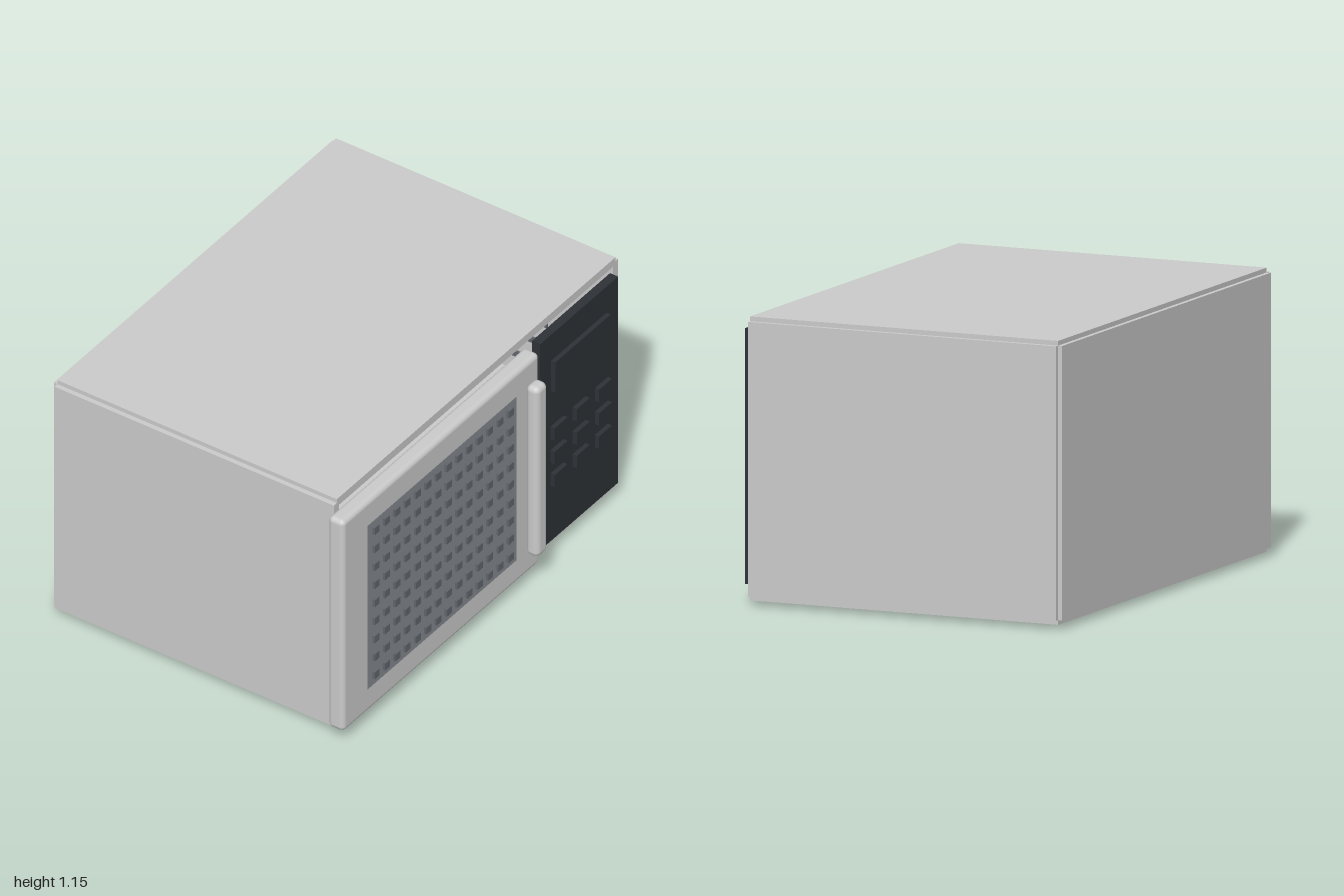
import * as THREE from 'three';
import { RoundedBoxGeometry } from 'three/addons/geometries/RoundedBoxGeometry.js';

const paint = (color) => new THREE.MeshStandardMaterial({ color });
const grey = paint(0xcccccc);
const black = paint(0x2e3237);
const glass = paint(0x85898f);
const dark = paint(0x62666c);
const copper = paint(0xb87a45);
const red = paint(0x8a5048);

export function createModel() {
  const model = new THREE.Group();
  model.name = 'microwaveOven';

  const group = (name) => {
    const g = new THREE.Group();
    g.name = name;
    model.add(g);
    return g;
  };

  // Box given by its limits along x, y and z; a radius rounds the edges
  const box = (parent, name, [x0, x1], [y0, y1], [z0, z1], material = grey, radius = 0) => {
    const size = [x1 - x0, y1 - y0, z1 - z0];
    const geometry = radius
      ? new RoundedBoxGeometry(...size, 4, radius)
      : new THREE.BoxGeometry(...size);
    const mesh = new THREE.Mesh(geometry, material);
    mesh.name = name;
    mesh.position.set((x0 + x1) / 2, (y0 + y1) / 2, (z0 + z1) / 2);
    parent.add(mesh);
    return mesh;
  };

  // Sheet housing, open at the front, with stepped seams along the edges
  const housing = group('housing');
  box(housing, 'topPanel', [-0.935, 0.977], [1.115, 1.152], [-0.73, 0.613]);
  box(housing, 'bottomPanel', [-0.935, 0.977], [0.018, 0.055], [-0.73, 0.613]);
  box(housing, 'leftPanel', [0.96, 0.996], [0.037, 1.133], [-0.73, 0.613]);
  box(housing, 'rightPanel', [-0.956, -0.92], [0.037, 1.133], [-0.73, 0.613]);
  box(housing, 'backPanel', [-0.935, 0.977], [0.037, 1.133], [-0.748, -0.712]);
  for (let i = 0; i < 7; i++) {
    const y = 0.28 + i * 0.103;
    box(housing, 'ventRib', [0.95, 0.961], [y - 0.013, y + 0.013], [-0.3, 0.3], dark);
  }
  box(housing, 'foot', [-0.41, -0.235], [0, 0.02], [-0.17, 0.005], black);

  // Cooking cavity
  const cavity = group('cavity');
  box(cavity, 'cavityTop', [-0.88, 0.34], [0.96, 0.98], [-0.6, 0.6]);
  box(cavity, 'cavityFloor', [-0.88, 0.34], [0.14, 0.16], [-0.6, 0.6]);
  box(cavity, 'cavityBack', [-0.88, 0.34], [0.16, 0.96], [-0.6, -0.58]);
  for (const x of [-0.88, 0.32]) {
    box(cavity, 'cavitySide', [x, x + 0.02], [0.16, 0.96], [-0.58, 0.6]);
  }

  // Power unit behind the control panel
  const power = group('powerUnit');
  box(power, 'mountingPlate', [0.34, 0.41], [0.2, 0.98], [-0.32, -0.3]);
  for (const [y0, y1] of [[0.69, 0.75], [0.53, 0.59], [0.38, 0.43]]) {
    box(power, 'coilFlange', [0.35, 0.75], [y0, y1], [-0.2, 0.2], red);
  }
  const coil = new THREE.Mesh(new THREE.CylinderGeometry(0.18, 0.18, 0.1, 32), copper);
  coil.name = 'coil';
  coil.position.set(0.55, 0.64, 0);
  power.add(coil);
  for (let i = 0; i < 4; i++) {
    const y = 0.23 + i * 0.065;
    box(power, 'coolingFin', [0.38, 0.72], [y, y + 0.045], [-0.18, 0.18], dark);
  }

  // Door with perforated window and bar handle
  const door = group('door');
  box(door, 'doorSlab', [-1, 0.35], [0.065, 1.107], [0.613, 0.689], grey, 0.022);
  box(door, 'window', [-0.835, 0.185], [0.18, 0.99], [0.66, 0.691], glass);
  for (let row = 0; row < 9; row++) {
    for (let col = 0; col < 14; col++) {
      const x = -0.785 + col * 0.0708;
      const y = 0.23 + row * 0.0895;
      box(door, 'screenStud', [x - 0.017, x + 0.017], [y - 0.017, y + 0.017], [0.685, 0.702], dark);
    }
  }
  box(door, 'handle', [0.25, 0.325], [0.167, 1.005], [0.686, 0.748], grey, 0.025);

  // Control panel with display and keypad
  const controls = group('controls');
  box(controls, 'controlPanel', [0.405, 0.94], [0.075, 1.097], [0.613, 0.652], black);
  box(controls, 'display', [0.48, 0.86], [0.817, 0.968], [0.645, 0.672], black);
  for (const x of [0.52, 0.672, 0.825]) {
    for (const y of [0.613, 0.496, 0.381]) {
      box(controls, 'button', [x - 0.044, x + 0.044], [y - 0.031, y + 0.031], [0.645, 0.672], black);
    }
  }

  return model;
}
